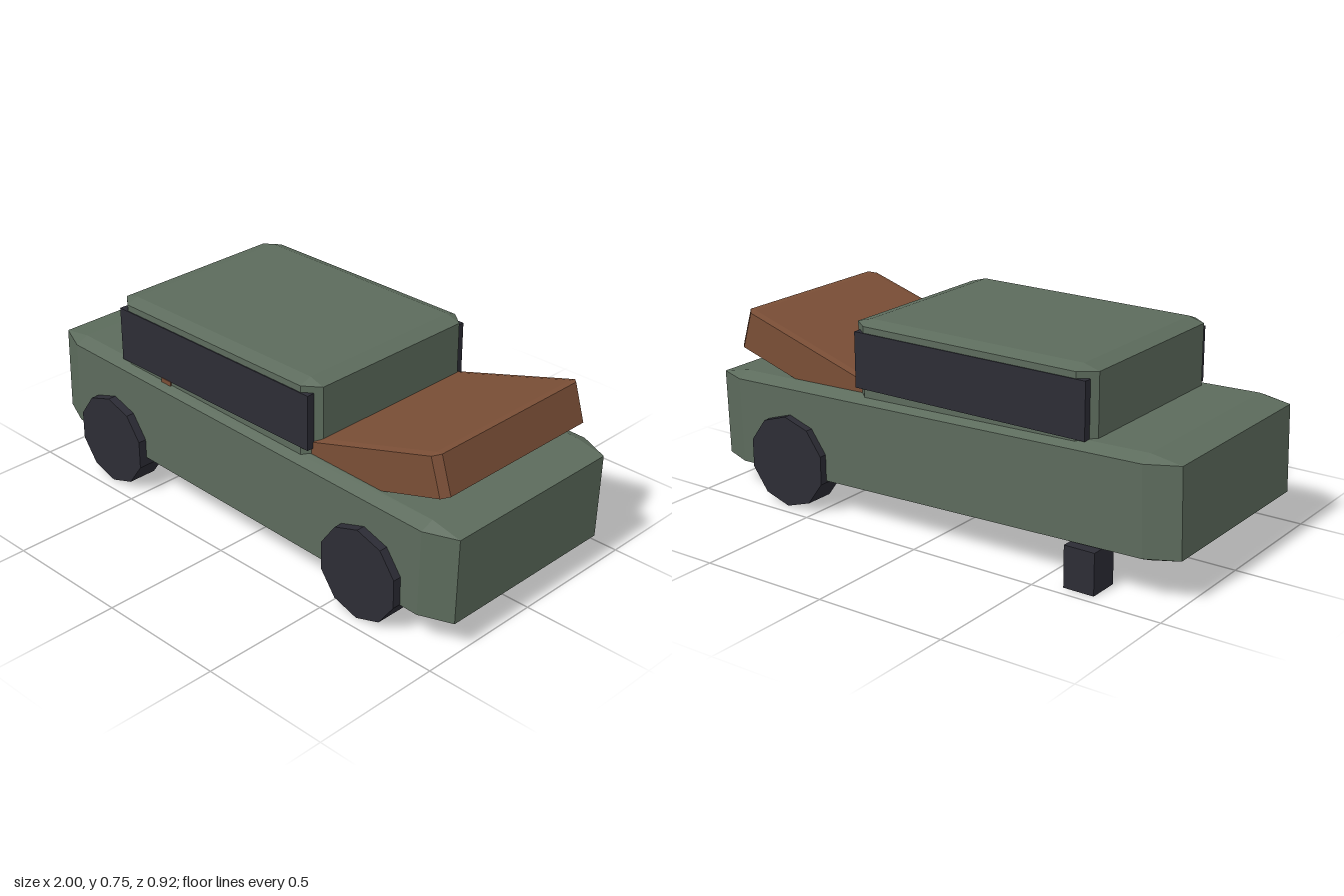
import * as THREE from 'three';
import { ConvexGeometry } from 'three/addons/geometries/ConvexGeometry.js';

const paint = new THREE.MeshStandardMaterial({ color: 0x5c6b5c });
paint.name = 'faded green paint';
const rust = new THREE.MeshStandardMaterial({ color: 0x7a4e36 });
rust.name = 'rust brown';
const dark = new THREE.MeshStandardMaterial({ color: 0x2c2c35 });
dark.name = 'dark rubber and glass';

// Box with chamfers proportional to each dimension
function chamferedBox(w, h, d, ratio) {
  const half = [w / 2, h / 2, d / 2];
  const points = [];
  for (const sx of [-1, 1]) for (const sy of [-1, 1]) for (const sz of [-1, 1]) {
    for (let full = 0; full < 3; full++) {
      const p = [sx, sy, sz].map((s, i) => s * half[i] * (i === full ? 1 : 1 - 2 * ratio));
      points.push(new THREE.Vector3(...p));
    }
  }
  return new ConvexGeometry(points);
}

export function createModel() {
  const group = new THREE.Group();
  const add = (name, geometry, material, x, y, z, tilt = 0) => {
    const mesh = new THREE.Mesh(geometry, material);
    mesh.name = name;
    mesh.position.set(x, y, z);
    mesh.rotation.z = tilt;
    group.add(mesh);
    return mesh;
  };

  // Sagging body and upright cabin
  add('body', chamferedBox(1.99, 0.37, 0.85, 0.06), paint, 0, 0.304, 0, -0.0265);
  add('cabin', chamferedBox(1.015, 0.3, 0.78, 0.06), paint, -0.147, 0.605, 0);

  // Sprung hood
  add('hood', chamferedBox(0.7, 0.157, 0.735, 0.035), rust, 0.57, 0.523, 0, 0.297);

  // Side windows
  const windowGeometry = new THREE.BoxGeometry(0.97, 0.208, 0.03);
  for (const side of [1, -1]) {
    add('sideWindow', windowGeometry, dark, -0.148, 0.609, side * 0.379);
  }

  // Rust spot under the window
  add('rustSpot', new THREE.BoxGeometry(0.05, 0.03, 0.008), rust, -0.39, 0.492, 0.392);

  // Ten-sided wheels, three remaining
  const wheel = new THREE.CylinderGeometry(0.175, 0.175, 0.115, 10).rotateX(Math.PI / 2).toNonIndexed();
  wheel.computeVertexNormals();
  for (const [x, z] of [[-0.655, 0.4], [0.63, 0.4], [0.63, -0.397]]) {
    add('wheel', wheel, dark, x, 0.176, z);
  }

  // Block propping up the corner with no wheel
  add('supportBlock', new THREE.BoxGeometry(0.12, 0.155, 0.12), dark, -0.66, 0.0775, -0.398);

  return group;
}
